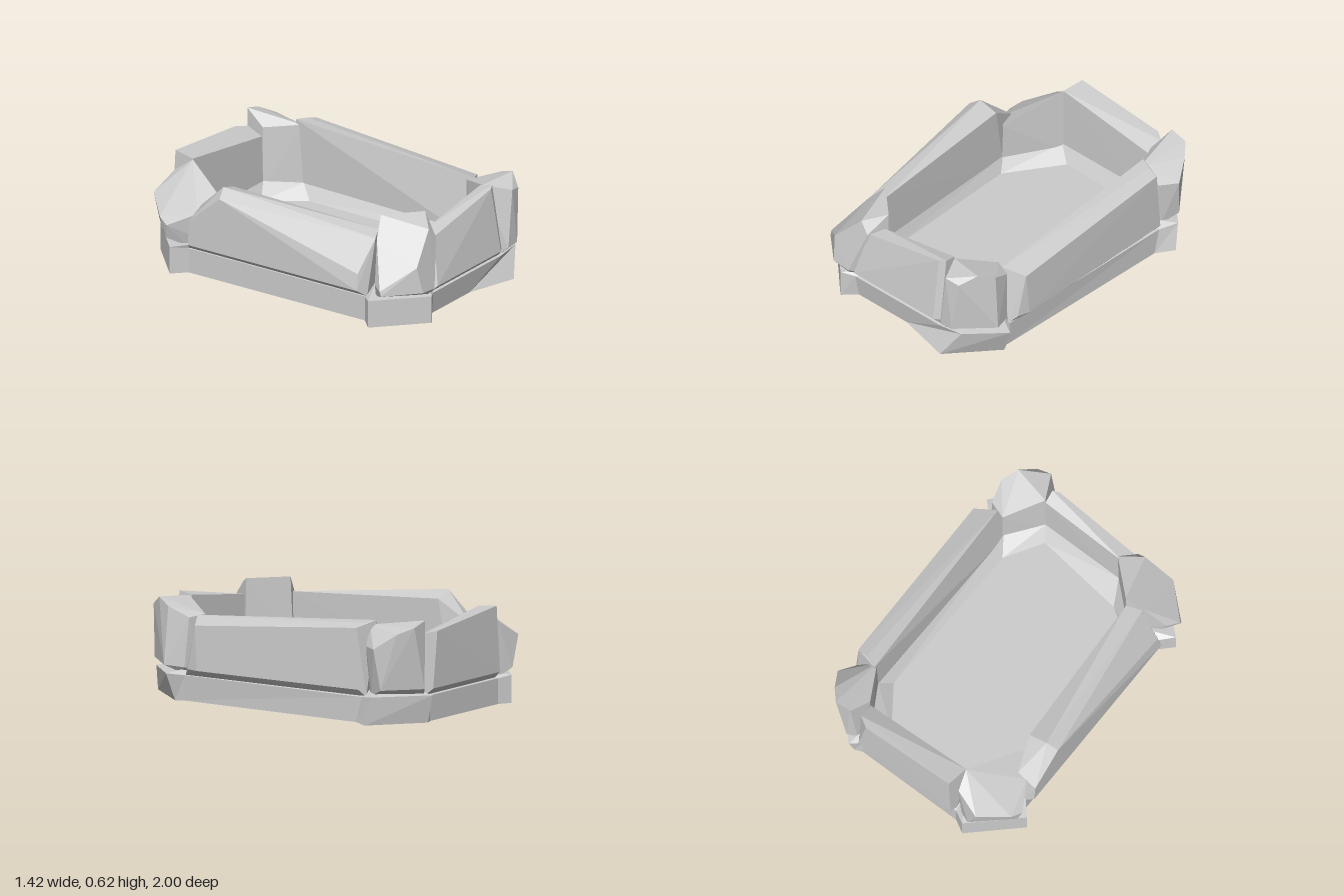
import * as THREE from 'three';
import { ConvexGeometry } from 'three/addons/geometries/ConvexGeometry.js';

const stone = new THREE.MeshStandardMaterial({ color: 0xcccccc, flatShading: true });

// A chiselled stone: the convex solid around a few corner points.
function block(name, points) {
  const geo = new ConvexGeometry(points.map((p) => new THREE.Vector3(...p)));
  const mesh = new THREE.Mesh(geo, stone);
  mesh.name = name;
  return mesh;
}

// Skin between equal-length rings, with the first and last ring closed.
function loft(name, rings) {
  const pos = [];
  const tri = (a, b, c) => pos.push(...a, ...b, ...c);
  const n = rings[0].length;
  for (let r = 0; r < rings.length - 1; r++) {
    for (let i = 0; i < n; i++) {
      const j = (i + 1) % n;
      const a = rings[r][i], b = rings[r][j], c = rings[r + 1][j], d = rings[r + 1][i];
      tri(a, b, c);
      tri(a, c, d);
    }
  }
  const cap = (ring, flip) => {
    const flat = ring.map((p) => new THREE.Vector2(p[0], -p[2]));
    for (const [a, b, c] of THREE.ShapeUtils.triangulateShape(flat, [])) {
      if (flip) tri(ring[c], ring[b], ring[a]);
      else tri(ring[a], ring[b], ring[c]);
    }
  };
  cap(rings[0], true);
  cap(rings[rings.length - 1], false);
  const geo = new THREE.BufferGeometry();
  geo.setAttribute('position', new THREE.Float32BufferAttribute(pos, 3));
  geo.computeVertexNormals();
  const mesh = new THREE.Mesh(geo, stone);
  mesh.name = name;
  return mesh;
}

export function createModel() {
  const group = new THREE.Group();
  group.name = 'stoneBasin';

  // Plinth outline, counter-clockwise from above: each corner juts out past the sides.
  const corner = [[0.63, 0.64], [0.71, 0.72], [0.43, 0.985], [0.35, 0.94]];
  const outline = [];
  for (const [sx, sz] of [[-1, 1], [1, 1], [1, -1], [-1, -1]]) {
    const pts = corner.map(([x, z]) => [x * sx, z * sz]);
    outline.push(...(sx * sz > 0 ? pts.reverse() : pts));
  }
  const lower = outline.map(([x, z]) => [x, 0, z]);
  // The sides stop a little lower than the corners.
  const upper = outline.map(([x, z], i) => [x, i % 4 === 0 || i % 4 === 3 ? 0.155 : 0.17, z]);
  // The front edge is undercut, and the two corners on the left lean.
  lower[3] = [-0.34, 0.015, 0.92];
  lower[4] = [0.05, 0.015, 0.92];
  lower[5] = [0.40, 0, 0.995];
  lower[6] = [0.645, 0, 0.70];
  lower[7] = [0.62, 0, 0.66];
  upper[5] = [0.51, 0.17, 0.93];
  lower[8] = [0.63, 0, -0.60];
  lower[9] = [0.70, 0, -0.71];
  lower[10] = [0.40, 0, -0.96];
  upper[9] = [0.68, 0.17, -0.75];
  upper[10] = [0.41, 0.17, -1.0];

  // Sunken floor with a sloped kerb, in the same order (two plinth points per corner).
  const rim = [[-0.44, 0.6], [-0.22, 0.8], [0.33, 0.8], [0.49, 0.6],
    [0.5, -0.6], [0.38, -0.81], [-0.33, -0.81], [-0.5, -0.48]];
  const floor = [[-0.41, 0.58], [-0.29, 0.66], [0.28, 0.73], [0.42, 0.5],
    [0.445, -0.52], [0.28, -0.755], [-0.24, -0.755], [-0.46, -0.42]];
  const twice = (ring, y) => ring.flatMap(([x, z]) => [[x, y, z], [x, y, z]]);
  group.add(loft('plinthAndFloor', [lower, upper, twice(rim, 0.2), twice(floor, 0.12)]));

  // Walls, each chamfered at the foot and rising to one end.
  group.add(block('frontWall', [
    [-0.37, 0.155, 0.92], [0.35, 0.155, 0.92], [-0.34, 0.2, 0.965], [0.31, 0.2, 0.965],
    [0.35, 0.2, 0.94], [-0.28, 0.48, 0.895], [0.30, 0.59, 0.9], [0.34, 0.6, 0.88],
    [-0.24, 0.5, 0.81], [0.33, 0.58, 0.8], [-0.24, 0.15, 0.8], [0.33, 0.15, 0.8],
  ]));
  group.add(block('backWall', [
    [-0.34, 0.155, -0.92], [0.38, 0.155, -0.92], [-0.33, 0.2, -0.97], [0.36, 0.2, -0.97],
    [-0.31, 0.6, -0.96], [0.31, 0.54, -0.965], [0.38, 0.53, -0.92],
    [-0.33, 0.585, -0.82], [0.38, 0.485, -0.82], [-0.33, 0.15, -0.81], [0.38, 0.15, -0.81],
  ]));
  group.add(block('leftWall', [
    [0.62, 0.155, 0.64], [0.61, 0.155, -0.66], [0.66, 0.2, 0.6], [0.65, 0.2, -0.63],
    [0.68, 0.2, 0.52], [0.67, 0.47, 0.54], [0.64, 0.57, -0.61], [0.57, 0.5, 0.59],
    [0.57, 0.59, -0.62], [0.54, 0.51, 0.61], [0.49, 0.6, -0.65], [0.48, 0.15, 0.6],
    [0.5, 0.15, -0.62],
  ]));
  group.add(block('rightWall', [
    [-0.62, 0.155, 0.65], [-0.62, 0.155, -0.64], [-0.68, 0.2, 0.62], [-0.68, 0.2, -0.61],
    [-0.66, 0.3, 0.61], [-0.68, 0.55, -0.38], [-0.68, 0.36, -0.6], [-0.52, 0.49, 0.64],
    [-0.61, 0.6, -0.4], [-0.43, 0.51, 0.6], [-0.49, 0.56, -0.41], [-0.55, 0.42, -0.6],
    [-0.44, 0.15, 0.6], [-0.5, 0.15, -0.48],
  ]));

  // Corner stones, each chipped differently.
  group.add(block('frontLeftCorner', [
    [0.37, 0.16, 0.93], [0.6, 0.16, 0.68], [0.47, 0.21, 0.97], [0.66, 0.21, 0.77],
    [0.38, 0.2, 0.97], [0.62, 0.2, 0.65], [0.51, 0.54, 0.95], [0.42, 0.56, 0.97],
    [0.58, 0.6, 0.86], [0.63, 0.56, 0.76], [0.6, 0.5, 0.63], [0.34, 0.58, 0.81],
    [0.49, 0.51, 0.59], [0.33, 0.15, 0.8], [0.49, 0.15, 0.59],
  ]));
  group.add(block('frontRightCorner', [
    [-0.39, 0.16, 0.94], [-0.6, 0.16, 0.7], [-0.5, 0.21, 0.97], [-0.69, 0.21, 0.8],
    [-0.69, 0.24, 0.79], [-0.64, 0.25, 0.72], [-0.52, 0.37, 0.94], [-0.38, 0.2, 0.97],
    [-0.34, 0.55, 0.9], [-0.42, 0.6, 0.61], [-0.22, 0.6, 0.79], [-0.52, 0.49, 0.65],
    [-0.28, 0.48, 0.91], [-0.22, 0.15, 0.8], [-0.44, 0.15, 0.6],
  ]));
  group.add(block('backLeftCorner', [
    [0.4, 0.16, -0.93], [0.6, 0.16, -0.69], [0.45, 0.21, -0.97], [0.65, 0.21, -0.79],
    [0.43, 0.62, -0.96], [0.54, 0.59, -0.96], [0.61, 0.55, -0.88], [0.68, 0.46, -0.76],
    [0.61, 0.46, -0.66], [0.39, 0.54, -0.82], [0.5, 0.57, -0.61],
    [0.38, 0.15, -0.81], [0.5, 0.15, -0.6],
  ]));
  // This one is broken down low on its outer side.
  group.add(block('backRightCorner', [
    [-0.38, 0.16, -0.93], [-0.61, 0.16, -0.66], [-0.46, 0.21, -0.97], [-0.68, 0.21, -0.77],
    [-0.7, 0.3, -0.75], [-0.67, 0.33, -0.82], [-0.52, 0.4, -0.97], [-0.36, 0.5, -0.93],
    [-0.61, 0.38, -0.59], [-0.49, 0.43, -0.47], [-0.33, 0.58, -0.82],
    [-0.32, 0.15, -0.81], [-0.5, 0.15, -0.47],
  ]));

  return group;
}
